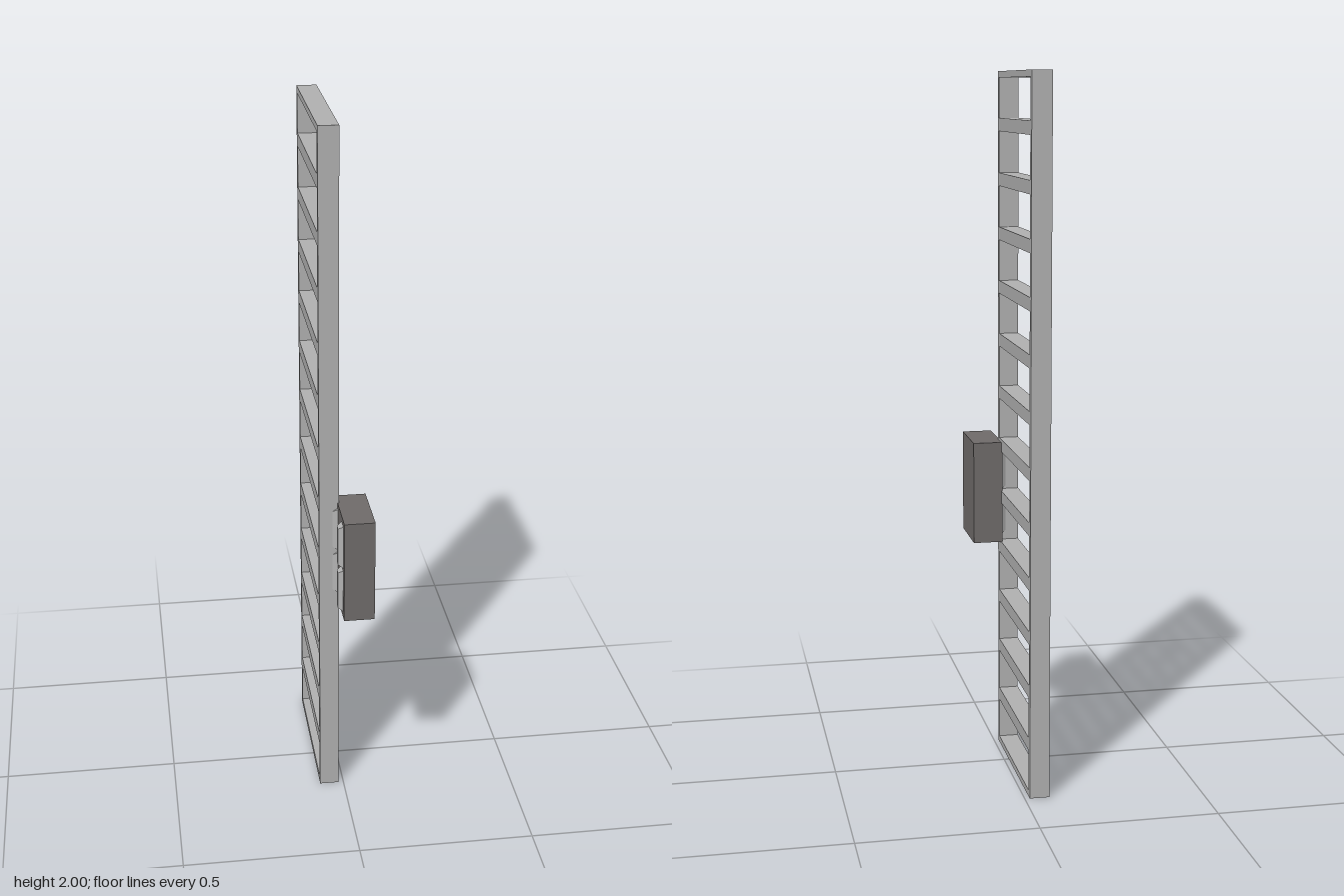
import * as THREE from 'three';

export function createModel() {
  const model = new THREE.Group();
  model.name = 'ladderGate';

  const steel = new THREE.MeshStandardMaterial({ color: 0xb2b2b2 });
  steel.name = 'light grey steel';
  const casing = new THREE.MeshStandardMaterial({ color: 0x706c6b });
  casing.name = 'dark warm grey casing';

  // Box given by its min and max corners
  function addBox(parent, name, material, min, max) {
    const size = max.map((v, i) => v - min[i]);
    const mesh = new THREE.Mesh(new THREE.BoxGeometry(...size), material);
    mesh.position.set(...max.map((v, i) => (v + min[i]) / 2));
    mesh.name = name;
    parent.add(mesh);
    return mesh;
  }

  // Gate frame: two stiles, top and bottom rails, evenly spaced rungs
  const frame = new THREE.Group();
  frame.name = 'gateFrame';
  model.add(frame);
  const x0 = -0.07, x1 = -0.014, zBack = -0.3, zFront = 0.163, stile = 0.018;
  const zi0 = zBack + stile, zi1 = zFront - stile;
  addBox(frame, 'backStile', steel, [x0, 0, zBack], [x1, 2, zi0]);
  addBox(frame, 'frontStile', steel, [x0, 0, zi1], [x1, 2, zFront]);
  addBox(frame, 'bottomRail', steel, [x0, 0, zi0], [x1, 0.018, zi1]);
  addBox(frame, 'topRail', steel, [x0, 1.982, zi0], [x1, 2, zi1]);
  const rungCount = 12, rungHeight = 0.037;
  for (let i = 0; i < rungCount; i++) {
    const y = 0.154 + i * 0.1543;
    addBox(frame, 'rung', steel, [x0, y - rungHeight / 2, zi0], [x1, y + rungHeight / 2, zi1]);
  }

  // Lock box on the front edge of the gate
  const lock = new THREE.Group();
  lock.name = 'lockBox';
  model.add(lock);
  addBox(lock, 'lockCasing', casing, [-0.018, 0.635, 0.115], [0.068, 0.935, 0.3]);

  // Bevelled mounting pads, two columns by two rows, narrowing towards -x
  const padGeometry = new THREE.BoxGeometry(0.014, 0.128, 0.036);
  const p = padGeometry.attributes.position;
  for (let i = 0; i < p.count; i++) {
    if (p.getX(i) < 0) {
      p.setY(i, p.getY(i) - Math.sign(p.getY(i)) * 0.009);
      p.setZ(i, p.getZ(i) - Math.sign(p.getZ(i)) * 0.008);
    }
  }
  padGeometry.computeVertexNormals();
  for (const z of [0.153, 0.262]) {
    for (const y of [0.718, 0.854]) {
      const pad = new THREE.Mesh(padGeometry, steel);
      pad.position.set(-0.025, y, z);
      pad.name = 'mountingPad';
      lock.add(pad);
    }
  }

  return model;
}
